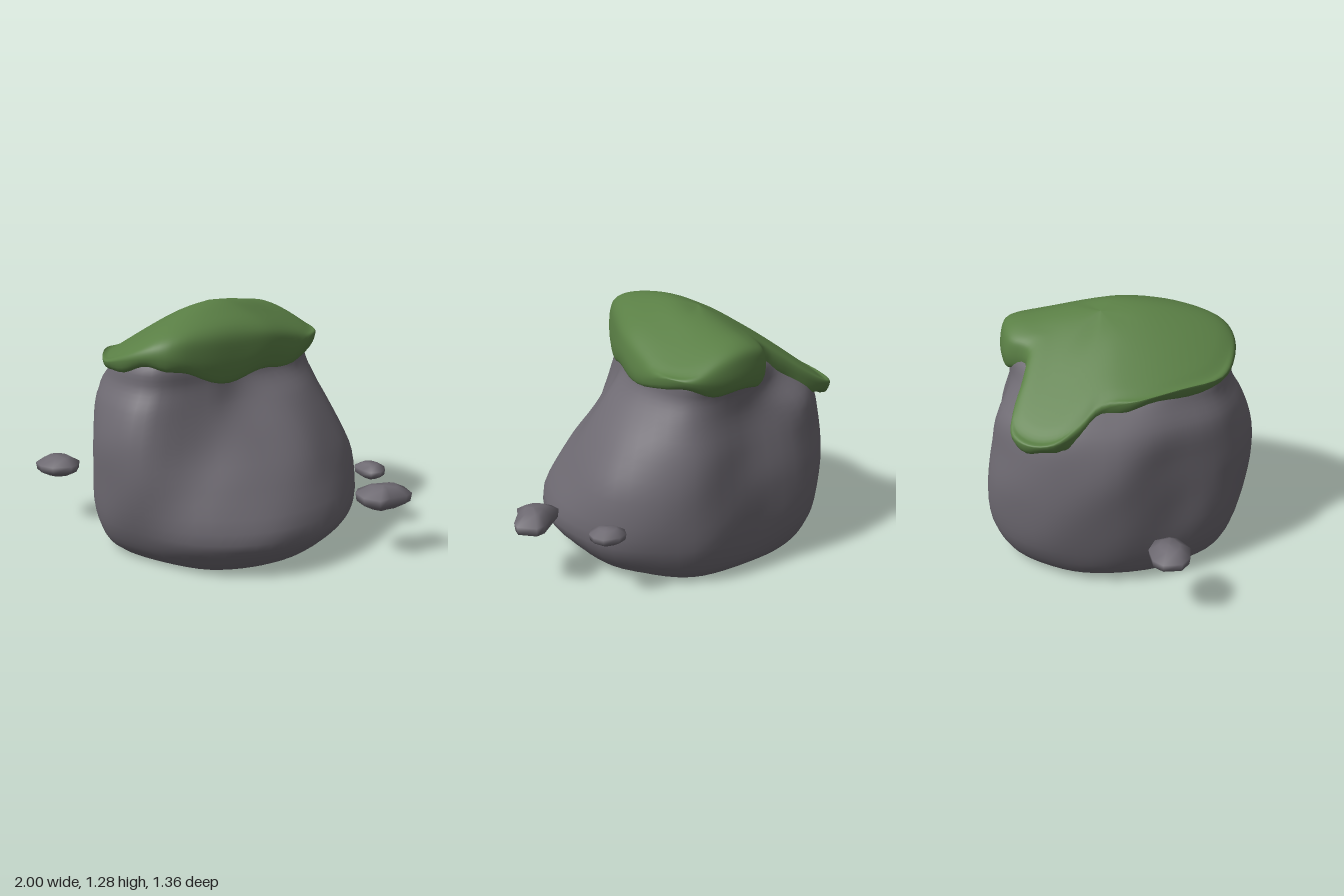
import * as THREE from 'three';

const V = (x, y, z) => new THREE.Vector3(x, y, z);

// Skin a stack of closed rings (listed bottom to top) with smooth normals.
function loft(rings) {
  const n = rings[0].length, pos = [], idx = [];
  rings.forEach(r => r.forEach(p => pos.push(p.x, p.y, p.z)));
  for (let i = 0; i < rings.length - 1; i++) {
    for (let j = 0; j < n; j++) {
      const k = (j + 1) % n, a = i * n + j, b = i * n + k;
      idx.push(a, a + n, b, b, a + n, b + n);
    }
  }
  const g = new THREE.BufferGeometry();
  g.setAttribute('position', new THREE.Float32BufferAttribute(pos, 3));
  g.setIndex(idx);
  g.computeVertexNormals();
  return g;
}

// Resample a closed outline, or an open column of points, as a smooth curve.
function smooth(points, count, closed) {
  const curve = new THREE.CatmullRomCurve3(points, closed, 'centripetal');
  const out = curve.getPoints(count);
  if (closed) out.pop();
  return out;
}

// Turn smoothed vertical columns into rings.
function columnsToRings(columns, count) {
  const cols = columns.map(c => smooth(c, count, false));
  return cols[0].map((_, i) => cols.map(c => c[i]));
}

const fill = (ring, p) => ring.map(() => p.clone());

// Boulder levels: height, then radii every 30 degrees from right (+x) round by the front.
const LEVELS = [
  [0.00, .57, .56, .53, .48, .50, .48, .48, .54, .60, .58, .64, .62],
  [0.06, .67, .66, .61, .55, .57, .54, .56, .61, .66, .63, .70, .72],
  [0.20, .775, .75, .70, .625, .63, .59, .615, .68, .73, .665, .75, .80],
  [0.45, .70, .64, .62, .675, .65, .585, .655, .72, .75, .66, .745, .79],
  [0.65, .60, .49, .50, .67, .65, .57, .655, .71, .72, .62, .715, .69],
  [0.82, .48, .365, .42, .615, .615, .56, .60, .67, .68, .575, .655, .57],
  [0.93, .37, .32, .385, .555, .56, .50, .50, .59, .56, .57, .62, .48],
  [1.02, .33, .30, .37, .545, .53, .44, .37, .38, .48, .58, .62, .45],
  [1.09, .27, .25, .32, .49, .43, .29, .23, .25, .35, .50, .51, .37],
];

function boulderRings() {
  const levels = LEVELS.map(([y, ...radii]) => smooth(radii.map((r, k) => {
    const a = k * Math.PI / 6;
    return V(-0.1 + r * Math.cos(a), y, r * Math.sin(a));
  }), 60, true));
  const rings = columnsToRings(levels[0].map((_, j) => levels.map(l => l[j])), 32);
  // gentle dents so the stone is not perfectly even
  rings.forEach(ring => ring.forEach((p, j) => {
    const a = j / ring.length * Math.PI * 2;
    const d = 1 + 0.005 * Math.sin(7 * a + 6 * p.y) * Math.sin(8 * p.y + 3 * a);
    p.x = -0.1 + (p.x + 0.1) * d;
    p.z *= d;
  }));
  return rings;
}

// Moss rim: x, z and the height of its lower edge.
const MOSS = [
  [-.76, -.30, .79], [-.745, -.42, .78], [-.67, -.505, .79], [-.55, -.51, .83],
  [-.40, -.475, .92], [-.27, -.47, .98], [-.20, -.57, .97], [-.10, -.61, .96],
  [.10, -.62, .96], [.25, -.58, .99], [.32, -.47, 1.0], [.32, -.20, .93],
  [.28, 0, .97], [.20, .20, .93], [.10, .40, .97], [0, .53, 1.03],
  [-.12, .57, 1.04], [-.27, .56, 1.01], [-.40, .50, .98], [-.53, .30, .98],
  [-.60, .10, .95], [-.61, -.08, .90], [-.69, -.18, .82],
];

// Top of the moss: a ridge running front to back, falling off to both sides.
const mossTop = (x, z) => 1.28
  - (x > -0.05 ? 0.58 : 0.68) * (Math.sqrt((x + 0.05) ** 2 + 0.02) - 0.1414)
  - (z > 0 ? 0.36 * z * z : 0.22 * (Math.sqrt(z * z + 0.01) - 0.1));

function mossRings() {
  const rim = smooth(MOSS.map(([x, z, y]) => V(x, y, z)), 92, true);
  const cx = -0.13, cz = -0.1;
  return columnsToRings(rim.map((p, j) => {
    const at = (s, y) => {
      const x = cx + (p.x - cx) * s, z = cz + (p.z - cz) * s;
      return V(x, y === undefined ? mossTop(x, z) : y, z);
    };
    const low = p.y + 0.01 * Math.sin(j * 0.9), lip = p.y + 0.05;
    const rise = at(0.95).y - lip;
    return [
      at(0.76, low + 0.04), at(0.96, low), at(1, lip),
      at(0.99, lip + rise * 0.5), at(0.95, lip + rise * 0.87),
      at(0.85), at(0.6), at(0.3), at(0),
    ];
  }), 32);
}

// Loose stones: centre, half height and outline seen from above.
const STONES = [
  { name: 'rightLooseStone', c: [-.88, .325, .25], h: .055, outline:
    [[-1, .22], [-.96, .17], [-.87, .15], [-.79, .18], [-.76, .25], [-.77, .29], [-.85, .35], [-.93, .35], [-.99, .31]] },
  { name: 'leftLooseStone', c: [.87, .325, -.12], h: .062, outline:
    [[.73, -.12], [.80, -.18], [.88, -.25], [.93, -.26], [1, -.19], [.99, -.14], [.93, -.06], [.90, 0], [.81, 0], [.74, -.06]] },
  { name: 'smallLooseStone', c: [.66, .322, -.47], h: .043, outline:
    [[.57, -.48], [.59, -.53], [.64, -.55], [.72, -.53], [.745, -.48], [.74, -.43], [.70, -.39], [.64, -.41], [.58, -.45]] },
];

function stoneGeometry({ c, h, outline }) {
  const profile = [[0, -1], [.5, -.92], [.95, -.4], [1, .3], [.5, .92], [0, 1]];
  return loft(profile.map(([s, t]) => outline.map(([x, z]) =>
    V(c[0] + (x - c[0]) * s, c[1] + h * t, c[2] + (z - c[2]) * s))));
}

export function createModel() {
  const group = new THREE.Group();
  group.name = 'mossyBoulder';
  const rock = new THREE.MeshStandardMaterial({ color: 0x6e6a72 });
  rock.name = 'grey rock';
  const moss = new THREE.MeshStandardMaterial({ color: 0x5a7f45 });
  moss.name = 'green moss';
  const add = (name, geometry, material) => {
    const mesh = new THREE.Mesh(geometry, material);
    mesh.name = name;
    group.add(mesh);
  };

  // boulder with a flat underside
  const rings = boulderRings();
  const last = rings[rings.length - 1];
  add('boulder', loft([...rings, fill(last, V(-0.1, 1.1, 0))]), rock);
  add('boulderBase', loft([fill(rings[0], V(-0.1, 0, 0)), rings[0]]), rock);

  // moss cap draped over the top
  add('mossCap', loft(mossRings()), moss);

  // loose stones around the sides
  STONES.forEach(s => add(s.name, stoneGeometry(s), rock));
  return group;
}
